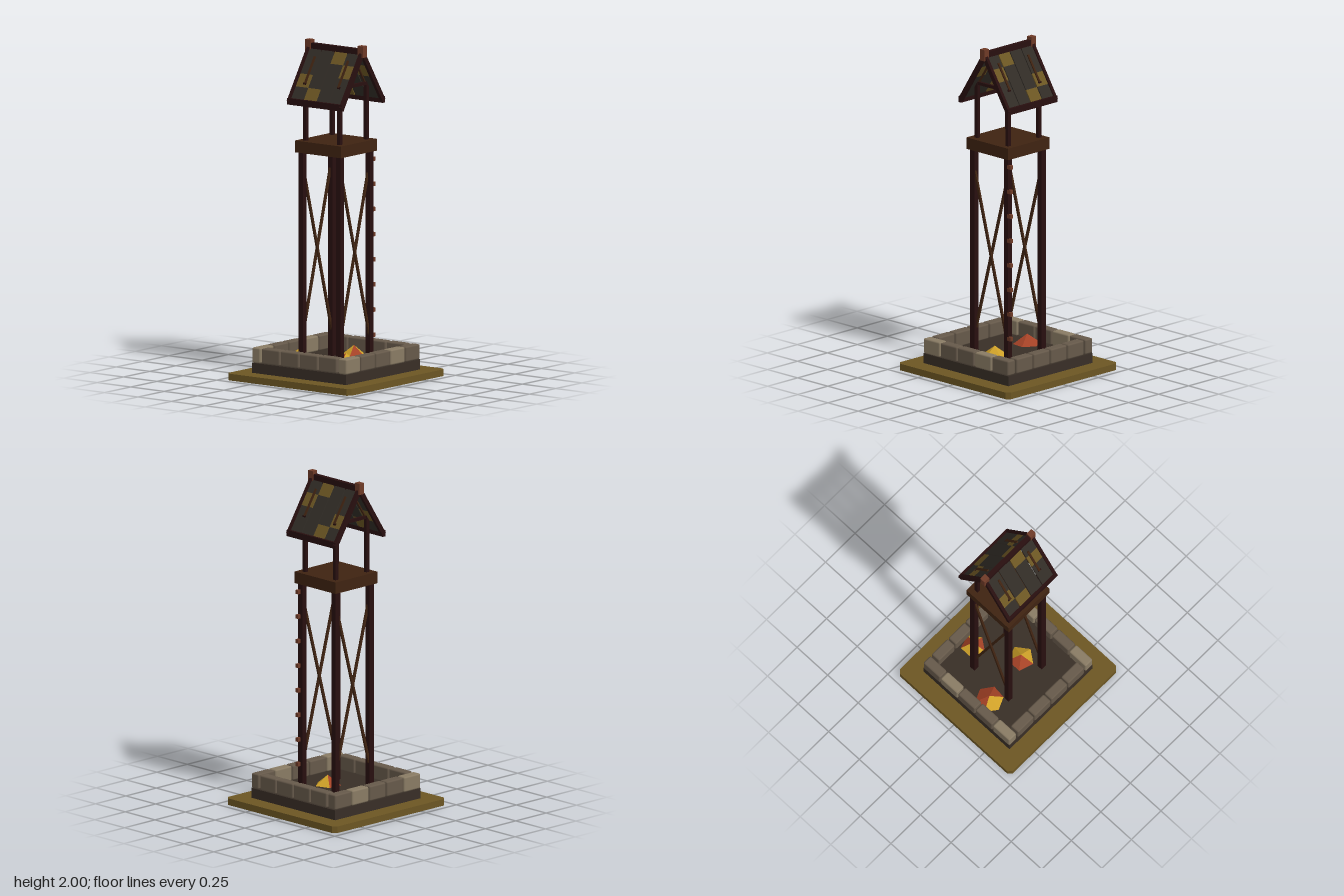
import * as THREE from 'three';
import { RoundedBoxGeometry } from 'three/addons/geometries/RoundedBoxGeometry.js';

const mat = (name, color) => {
  const m = new THREE.MeshStandardMaterial({ color });
  m.name = name;
  return m;
};

export function createModel() {
  const ochre = mat('ochre', 0x6c5623);
  const earth = mat('dark earth', 0x382e26);
  const paleStone = mat('pale stone', 0x897b64);
  const stone = mat('stone', 0x66594a);
  const darkWood = mat('dark wood', 0x280f0f);
  const brownWood = mat('brown wood', 0x3f2311);
  const redWood = mat('red wood', 0x6e3a27);
  const slate = mat('slate', 0x312c26);
  const yellow = mat('yellow leaf', 0xcfa128);
  const red = mat('red leaf', 0xa54226);

  const model = new THREE.Group();
  model.name = 'watchtower';
  const group = (name) => {
    const g = new THREE.Group();
    g.name = name;
    model.add(g);
    return g;
  };
  const add = (parent, name, geo, material, x = 0, y = 0, z = 0) => {
    const mesh = new THREE.Mesh(geo, material);
    mesh.name = name;
    mesh.position.set(x, y, z);
    parent.add(mesh);
    return mesh;
  };
  const box = (parent, name, w, h, d, material, x, y, z) =>
    add(parent, name, new THREE.BoxGeometry(w, h, d), material, x, y, z);
  // Beam between two points of a plane of constant z
  const beam = (parent, name, [x1, y1], [x2, y2], z, thick, depth, material) => {
    const m = box(parent, name, Math.hypot(x2 - x1, y2 - y1), thick, depth, material,
      (x1 + x2) / 2, (y1 + y2) / 2, z);
    m.rotation.z = Math.atan2(y2 - y1, x2 - x1);
    return m;
  };
  const signs = [-1, 1];

  // Ground slab with clipped corners
  const r = 0.46, c = r - 0.022;
  const outline = new THREE.Shape([[r, -c], [r, c], [c, r], [-c, r], [-r, c], [-r, -c], [-c, -r], [c, -r]]
    .map(([x, y]) => new THREE.Vector2(x, y)));
  const slab = new THREE.ExtrudeGeometry(outline, { depth: 0.04, bevelEnabled: false });
  slab.rotateX(-Math.PI / 2);
  add(model, 'ground slab', slab, ochre);
  box(model, 'foundation', 0.704, 0.06, 0.704, earth, 0, 0.07, 0);

  // Ring of stone blocks
  const wall = group('stone wall');
  const block = (w, d, material, x, z) =>
    add(wall, 'stone block', new RoundedBoxGeometry(w, 0.092, d, 1, 0.01), material, x, 0.146, z);
  for (const s of signs) {
    for (let i = 0; i < 5; i++) block(0.136, 0.062, i % 3 ? stone : paleStone, (i - 2) * 0.142, s * 0.323);
    for (let i = 0; i < 4; i++) block(0.062, 0.136, stone, s * 0.323, (i - 1.5) * 0.142);
  }

  // Faceted leaf piles, one letter per facet
  const pile = (x, z, radius, startDeg, facets) => {
    const cone = new THREE.ConeGeometry(radius, 0.06, facets.length, 1, true,
      THREE.MathUtils.degToRad(startDeg)).toNonIndexed();
    cone.computeVertexNormals();
    cone.clearGroups();
    [...facets].forEach((f, i) => cone.addGroup(i * 3, 3, f === 'R' ? 1 : 0));
    add(model, 'leaf pile', cone, [yellow, red], x, 0.13, z);
  };
  pile(-0.065, -0.225, 0.085, 24, 'RRRYYR');
  pile(0.235, -0.05, 0.075, 0, 'YRYYR');
  pile(-0.02, 0.09, 0.08, 0, 'YYRRY');

  // Tower legs, upper posts and platform
  const frame = group('tower frame');
  for (const sx of signs) for (const sz of signs) {
    box(frame, 'leg', 0.034, 1.26, 0.034, darkWood, sx * 0.14, 0.725, sz * 0.14);
    box(frame, 'upper post', 0.023, 0.35, 0.023, darkWood, sx * 0.127, 1.59, sz * 0.127);
  }
  box(frame, 'platform', 0.345, 0.07, 0.345, brownWood, 0, 1.385, 0);

  // Cross braces on front and back
  for (const sz of signs) for (const sx of signs) {
    beam(frame, 'cross brace', [-sx * 0.13, 1.22], [sx * 0.13, 0.26], sz * 0.14 + sx * 0.005, 0.015, 0.012, brownWood);
  }

  // Climbing rungs on one leg
  const ladder = group('ladder');
  for (let i = 0; i < 8; i++) {
    box(ladder, 'rung', 0.03, 0.024, 0.02, redWood, 0.163, 0.25 + i * 0.15, 0.147);
  }

  // Roof frame
  const roof = group('roof');
  const slope = (x) => 1.958 - 1.56 * Math.abs(x);
  const at = (x) => [x, slope(x)];
  box(roof, 'ridge beam', 0.028, 0.052, 0.4, darkWood, 0, 1.955, 0);
  for (const sz of signs) {
    box(roof, 'ridge finial', 0.036, 0.068, 0.04, redWood, 0, 1.966, sz * 0.196);
    box(roof, 'tie beam', 0.25, 0.018, 0.018, darkWood, 0, 1.755, sz * 0.127);
  }
  for (const sx of signs) {
    box(roof, 'eave beam', 0.02, 0.038, 0.41, darkWood, sx * 0.195, 1.655, 0);
    for (const sz of signs) {
      beam(roof, 'end rafter', at(0), at(sx * 0.198), sz * 0.195, 0.028, 0.02, darkWood);
      beam(roof, 'inner rafter', at(sx * 0.035), at(sx * 0.13), sz * 0.124, 0.026, 0.013, brownWood);
    }
    // Planked covering: four strips, each with one ochre patch
    const patches = [2, 3, 0, 1];
    patches.forEach((patch, i) => {
      for (let j = 0; j < 4; j++) {
        const x0 = 0.006 + j * 0.0455;
        beam(roof, 'roof plank', at(sx * x0), at(sx * (x0 + 0.0455)),
          (i - 1.5) * 0.0945, 0.012, 0.0885, j === patch ? ochre : slate);
      }
    });
  }
  return model;
}
